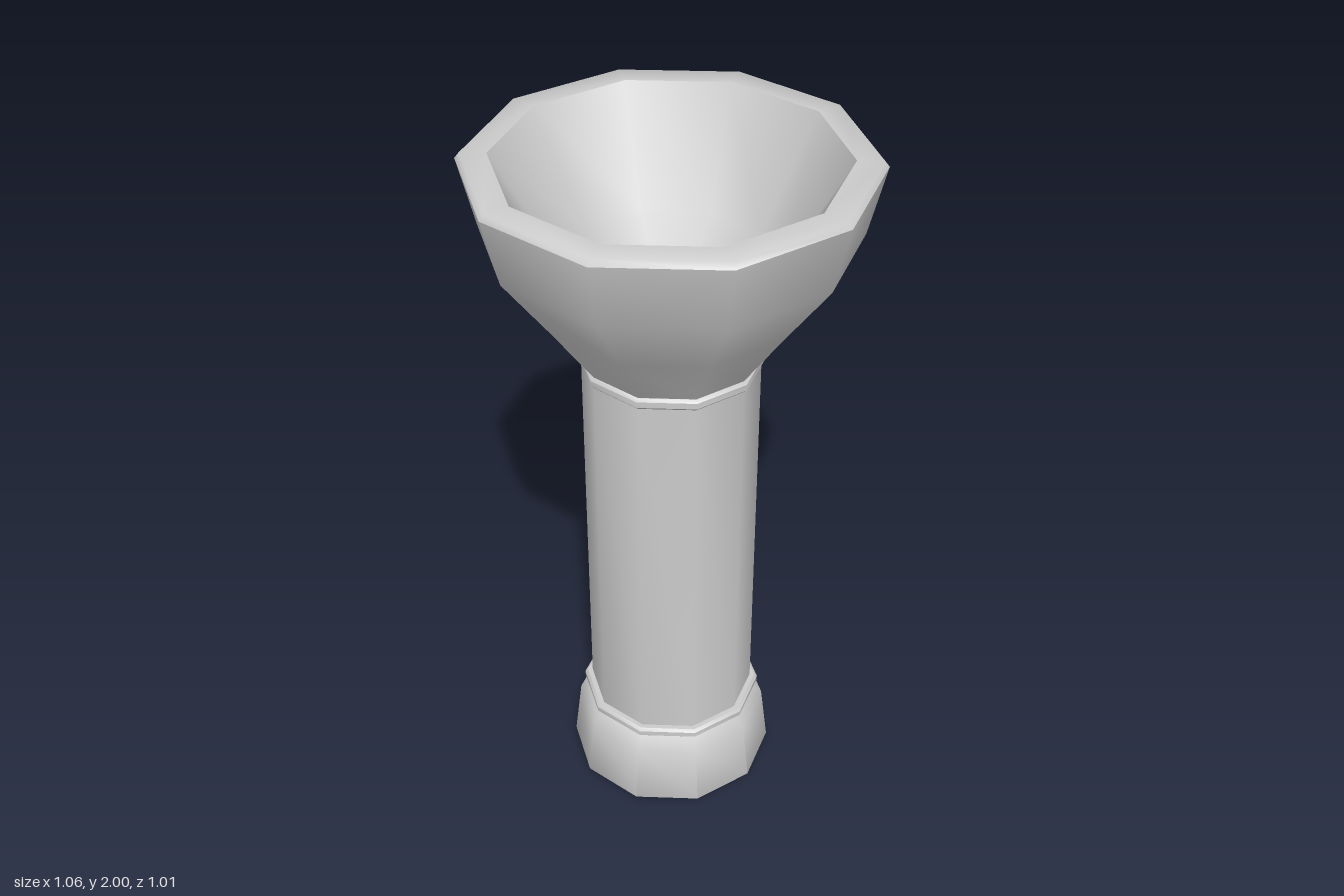
import * as THREE from 'three';
import { toCreasedNormals } from 'three/addons/utils/BufferGeometryUtils.js';

const SIDES = 10;

export function createModel() {
  const model = new THREE.Group();
  const material = new THREE.MeshStandardMaterial({ color: 0xcccccc });

  // Turns a profile of [radius, height] pairs into a ten-sided part,
  // with a corner on the x axis and sharp edges where the profile bends hard.
  function turned(name, profile, crease = 0.95) {
    const points = profile.map(([r, y]) => new THREE.Vector2(r, y));
    const geometry = new THREE.LatheGeometry(points, SIDES, Math.PI / 2);
    const mesh = new THREE.Mesh(toCreasedNormals(geometry, crease), material);
    mesh.name = name;
    model.add(mesh);
  }

  // Tail cap: closed, slightly flared, bevelled at both ends
  turned('tailCap', [
    [0, 0.002], [0.272, 0.002], [0.296, 0.026],
    [0.275, 0.205], [0.24, 0.248], [0.2, 0.248],
  ]);

  // Thin raised rings at both ends of the handle
  const ring = (name, radius, y0, y1) => turned(name, [
    [0.2, y0], [radius - 0.008, y0], [radius, y0 + 0.008],
    [radius, y1 - 0.008], [radius - 0.008, y1], [0.2, y1],
  ], 0.68);
  ring('lowerRing', 0.26, 0.246, 0.277);
  ring('upperRing', 0.247, 1.41, 1.443);

  // Straight handle
  turned('handle', [[0.238, 0.24], [0.238, 1.42]]);

  // Flared head and its thick rim, softened at the outer edge
  turned('head', [[0.236, 1.44], [0.355, 1.615], [0.486, 1.8], [0.53, 1.985]]);
  turned('rim', [[0.53, 1.985], [0.518, 2], [0.45, 2]]);

  // Deep funnel-shaped reflector inside the head
  turned('reflector', [[0.45, 2], [0.28, 1.7], [0.05, 1.42], [0, 1.42]]);

  // Bulb: a tapered socket with a rounded tip
  const bulb = [[0.068, 1.42], [0.068, 1.5], [0.052, 1.545]];
  for (let i = 1; i <= 5; i++) {
    const a = (i / 5) * Math.PI / 2;
    bulb.push([i === 5 ? 0 : 0.052 * Math.cos(a), 1.545 + 0.052 * Math.sin(a)]);
  }
  turned('bulb', bulb);

  return model;
}
